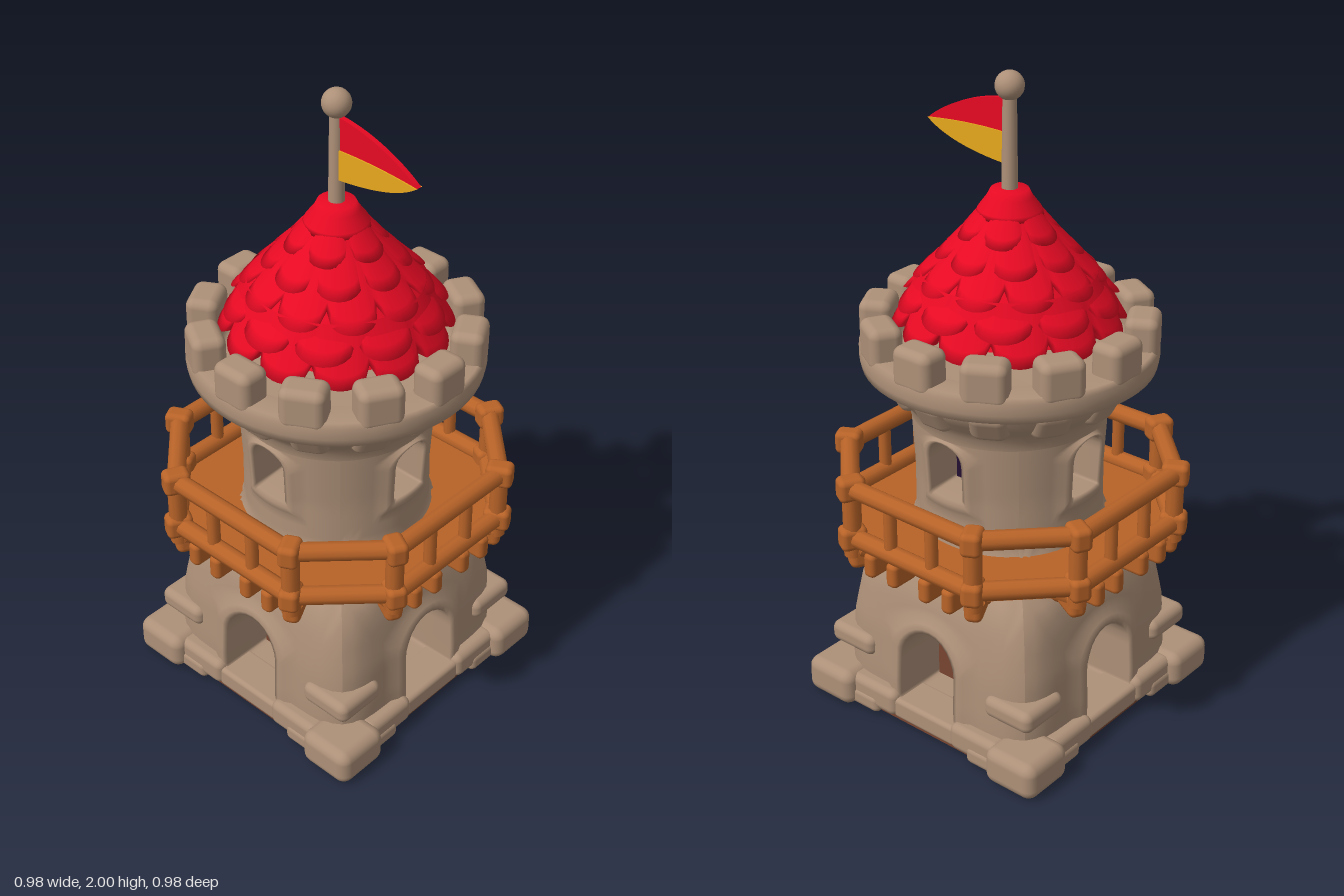
import * as THREE from 'three';
import { mergeVertices } from 'three/addons/utils/BufferGeometryUtils.js';
import { RoundedBoxGeometry } from 'three/addons/geometries/RoundedBoxGeometry.js';

const mat = (name, color, side = THREE.FrontSide) => {
  const m = new THREE.MeshStandardMaterial({ color, side });
  m.name = name;
  return m;
};

export function createModel() {
  const root = new THREE.Group();
  root.name = 'watchtower';
  const stone = mat('stone', 0xad9078);
  const wood = mat('wood', 0xb86328);
  const red = mat('red', 0xec0a24, THREE.DoubleSide);
  const doorBrown = mat('door brown', 0x78442f);
  const dark = mat('window dark', 0x220e30);
  const gold = mat('gold', 0xe8a81c);

  const add = (name, geo, material, x = 0, y = 0, z = 0, parent = root) => {
    const m = new THREE.Mesh(geo, material);
    m.name = name;
    m.position.set(x, y, z);
    parent.add(m);
    return m;
  };
  const group = (name) => {
    const g = new THREE.Group();
    g.name = name;
    root.add(g);
    return g;
  };
  const rbox = (w, h, d, r) => new RoundedBoxGeometry(w, h, d, 3, r);
  const smooth = (geo) => {
    geo.deleteAttribute('uv');
    geo.deleteAttribute('normal');
    const g = mergeVertices(geo, 1e-4);
    g.computeVertexNormals();
    return g;
  };
  const beam = (name, a, b, r, material, parent) => {
    const d = b.clone().sub(a);
    const m = add(name, new THREE.CylinderGeometry(r, r, d.length(), 10), material, 0, 0, 0, parent);
    m.position.copy(a).add(b).multiplyScalar(0.5);
    m.quaternion.setFromUnitVectors(new THREE.Vector3(0, 1, 0), d.normalize());
  };

  // Wall section by height: [y, half width, squareness]
  const section = [[0, 0.385, 7], [0.15, 0.385, 7], [0.3, 0.377, 7], [0.45, 0.352, 7], [0.53, 0.325, 6],
    [0.58, 0.295, 3], [0.63, 0.285, 2], [0.8, 0.283, 2], [1.02, 0.295, 2]];
  const sectionAt = (y) => {
    let i = 0;
    while (i < section.length - 2 && y > section[i + 1][0]) i++;
    const [a, b] = [section[i], section[i + 1]];
    const t = (y - a[0]) / (b[0] - a[0]);
    return [a[1] + (b[1] - a[1]) * t, a[2] + (b[2] - a[2]) * t];
  };

  // Closed outline of an arch, counterclockwise from its lower left corner
  const K = 12;
  const archPoints = (w, sill, spring) => {
    const p = [];
    for (let i = 0; i < K; i++) p.push([-w + 2 * w * i / K, sill]);
    for (let i = 0; i < K; i++) p.push([w, sill + (spring - sill) * i / K]);
    for (let i = 0; i < K; i++) p.push([w * Math.cos(Math.PI * i / K), spring + w * Math.sin(Math.PI * i / K)]);
    for (let i = 0; i < K; i++) p.push([-w, spring + (sill - spring) * i / K]);
    return p;
  };
  // One quarter of a wall with a raised rim and a deeply recessed arch
  const archWall = (w, sill, spring, y0, y1, back) => {
    const inner = archPoints(w, sill, spring), n = inner.length;
    const half = sectionAt(spring)[0];
    const rings = [-1, 0, 0.06, 0.14, 0.22, 0.34, 0.5, 0.66, 0.83, 1];
    const pos = [], idx = [];
    for (const t of rings) inner.forEach(([x, y], i) => {
      if (t < 0) {
        pos.push(x, y, back);
        return;
      }
      const f = (i % K) / K, side = Math.floor(i / K);
      const out = [[-1 + 2 * f, y0], [1, y0 + (y1 - y0) * f], [1 - 2 * f, y1], [-1, y1 + (y0 - y1) * f]][side];
      const s = (x / half) * (1 - t) + out[0] * t;
      const py = y * (1 - t) + out[1] * t;
      const [h, e] = sectionAt(py);
      const k = h / Math.pow(Math.pow(Math.abs(s), e) + 1, 1 / e);
      const rim = t < 0.22 ? 0.014 * Math.sin(Math.PI * (t + 0.05) / 0.27) : 0;
      pos.push(s * k, py, k + rim);
    });
    for (let j = 0; j < rings.length - 1; j++) for (let i = 0; i < n; i++) {
      const a = j * n + i, b = j * n + (i + 1) % n, c = b + n, d = a + n;
      idx.push(a, d, c, a, c, b);
    }
    const g = new THREE.BufferGeometry();
    g.setAttribute('position', new THREE.Float32BufferAttribute(pos, 3));
    g.setIndex(idx);
    g.computeVertexNormals();
    return g;
  };
  const plate = (w, sill, spring) =>
    new THREE.ShapeGeometry(new THREE.Shape(archPoints(w, sill, spring).map((p) => new THREE.Vector2(...p))));

  const baseWall = archWall(0.104, 0.09, 0.25, 0.02, 0.57, 0.22);
  const towerWall = archWall(0.062, 0.79, 0.91, 0.57, 1.0, 0.17);
  const doorPlate = plate(0.106, 0.088, 0.25);
  const windowPlate = plate(0.064, 0.788, 0.91);

  // Four identical sides and corners
  for (let q = 0; q < 4; q++) {
    const g = group('towerSide');
    g.rotation.y = q * Math.PI / 2;
    add('lowerWall', baseWall, stone, 0, 0, 0, g);
    add('upperWall', towerWall, stone, 0, 0, 0, g);
    add('door', doorPlate, doorBrown, 0, 0, 0.221, g);
    add('window', windowPlate, dark, 0, 0, 0.171, g);
    add('doorStep', rbox(0.25, 0.07, 0.13, 0.015), stone, 0, 0.056, 0.35, g);
    for (const s of [-1, 1]) add('plinth', rbox(0.19, 0.09, 0.12, 0.025), stone, s * 0.205, 0.066, 0.365, g);
    add('cornerFooting', rbox(0.25, 0.06, 0.25, 0.02), stone, 0.305, 0.036, 0.305, g);
    add('cornerBlock', rbox(0.185, 0.12, 0.185, 0.035), stone, 0.365, 0.06, 0.365, g);
    add('cornerStone', rbox(0.175, 0.07, 0.175, 0.026), stone, 0.312, 0.215, 0.312, g);
  }
  add('floor', new THREE.BoxGeometry(0.81, 0.02, 0.81), doorBrown, 0, 0.022, 0);

  // Balcony
  const balcony = group('balcony');
  const corners = [];
  for (let q = 0; q < 4; q++) for (const x of [-0.235, 0.235]) {
    corners.push(new THREE.Vector3(x, 0, 0.445).applyAxisAngle(new THREE.Vector3(0, 1, 0), q * Math.PI / 2));
  }
  const at = (p, y, k = 1) => new THREE.Vector3(p.x * k, y, p.z * k);
  const deck = new THREE.ExtrudeGeometry(
    new THREE.Shape(corners.map((p) => new THREE.Vector2(p.x * 0.97, -p.z * 0.97))),
    { depth: 0.035, bevelEnabled: false });
  deck.rotateX(-Math.PI / 2);
  add('deck', deck, wood, 0, 0.595, 0, balcony);
  corners.forEach((p, i) => {
    const next = corners[(i + 1) % 8];
    for (const y of [0.64, 0.805]) {
      beam('rail', at(p, y), at(next, y), 0.029, wood, balcony);
      const cap = add('railJoint', rbox(0.062, 0.074, 0.082, 0.018), wood, p.x, y, p.z, balcony);
      cap.rotation.y = Math.atan2(p.x, p.z);
    }
    beam('post', at(p, 0.58), at(p, 0.835), 0.028, wood, balcony);
    beam('bracket', at(p, 0.53, 0.66), at(p, 0.6, 0.97), 0.032, wood, balcony);
    const foot = add('bracketEnd', rbox(0.055, 0.075, 0.11, 0.02), wood, p.x * 0.92, 0.575, p.z * 0.92, balcony);
    foot.rotation.y = Math.atan2(p.x, p.z);
    // Balusters and joist ends on the four long edges only
    if (i % 2 === 0) for (const k of [-1, 1]) {
      const b = p.clone().lerp(next, 0.5 + k * 0.17);
      beam('baluster', at(b, 0.62), at(b, 0.81), 0.02, wood, balcony);
      for (const u of [0.14, 0.34]) {
        const e = p.clone().lerp(next, 0.5 + k * u);
        const joist = add('joistEnd', rbox(0.042, 0.08, 0.1, 0.016), wood, e.x * 0.95, 0.58, e.z * 0.95, balcony);
        joist.rotation.y = (i / 2) * Math.PI / 2;
      }
    }
  });

  // Parapet: flare, ring with a hollow top, shallow corbels and merlons
  const ring = [[0.295, 0.98], [0.3, 1.01], [0.32, 1.04], [0.345, 1.07], [0.365, 1.1], [0.372, 1.13], [0.415, 1.13],
    [0.435, 1.14], [0.44, 1.165], [0.44, 1.2], [0.43, 1.215], [0.35, 1.215], [0.34, 1.205], [0.338, 1.18],
    [0.32, 1.17], [0, 1.17]];
  add('parapet', new THREE.LatheGeometry(ring.map((p) => new THREE.Vector2(...p)), 64), stone);
  for (let i = 0; i < 12; i++) {
    const g = group('parapetBay');
    g.rotation.y = i * Math.PI / 6;
    add('merlon', rbox(0.135, 0.13, 0.1, 0.028), stone, 0, 1.245, 0.389, g);
    const corbel = add('corbel', rbox(0.12, 0.12, 0.07, 0.034), stone, 0, 1.09, 0.332, g);
    corbel.rotation.x = 0.5;
  }

  // Roof: rows of scalloped shingles [bottom y, bottom radius, top y, top radius, count]
  const roof = group('roof');
  add('roofCore', new THREE.CylinderGeometry(0.04, 0.3, 0.36, 32), red, 0, 1.47, 0, roof);
  add('roofPost', new THREE.CylinderGeometry(0.05, 0.05, 0.14, 16), stone, 0, 1.23, 0, roof);
  const rows = [[1.26, 0.33, 1.42, 0.255, 12], [1.325, 0.312, 1.48, 0.19, 10], [1.395, 0.265, 1.54, 0.138, 10],
    [1.465, 0.2, 1.6, 0.085, 8], [1.53, 0.138, 1.65, 0.052, 6]];
  rows.forEach(([yb, rb, yt, rt, n], i) => {
    const geo = new THREE.CylinderGeometry(1, 1, 1, n * 10, 6, true);
    const p = geo.attributes.position, uv = geo.attributes.uv;
    for (let v = 0; v < p.count; v++) {
      const f = (uv.getX(v) * n + (i % 2 ? 0.5 : 0)) % 1;
      const curve = Math.sqrt(Math.max(0, 1 - (2 * f - 1) ** 2));
      const t = Math.min(1, (1 - uv.getY(v)) * 1.2);
      const k = t * (0.68 + 0.32 * curve);
      const lip = uv.getY(v) < 0.01 ? 0.03 : 0;
      const r = rt + (rb - rt) * k + 0.014 * curve * t - lip;
      p.setXYZ(v, p.getX(v) * r, yt + (yb - yt) * k, p.getZ(v) * r);
    }
    add('shingleRow', smooth(geo), red, 0, 0, 0, roof);
  });
  const capPoints = [[0.04, 1.585], [0.098, 1.59], [0.092, 1.605], [0.066, 1.64], [0.055, 1.662], [0, 1.665]];
  add('roofCap', new THREE.LatheGeometry(capPoints.map((p) => new THREE.Vector2(...p)), 32), red, 0, 0, 0, roof);

  // Flagpole and two-tone pennant
  add('flagpole', new THREE.CylinderGeometry(0.02, 0.024, 0.3, 16), stone, 0, 1.79, 0);
  add('finial', new THREE.SphereGeometry(0.042, 24, 16), stone, 0, 1.958, 0);
  const pennant = (name, edge, material, depth) => {
    const s = new THREE.Shape();
    s.moveTo(0.015, 1.825);
    s.quadraticCurveTo(0.15, 1.83, 0.295, 1.812);
    s.bezierCurveTo(...edge);
    s.closePath();
    const geo = new THREE.ExtrudeGeometry(s, { depth, bevelEnabled: false, curveSegments: 12 });
    add(name, geo, material, 0, 0, -depth / 2);
  };
  pennant('pennantTop', [0.25, 1.85, 0.14, 1.91, 0.015, 1.922], red, 0.016);
  pennant('pennantBottom', [0.24, 1.77, 0.14, 1.745, 0.015, 1.735], gold, 0.024);

  return root;
}
